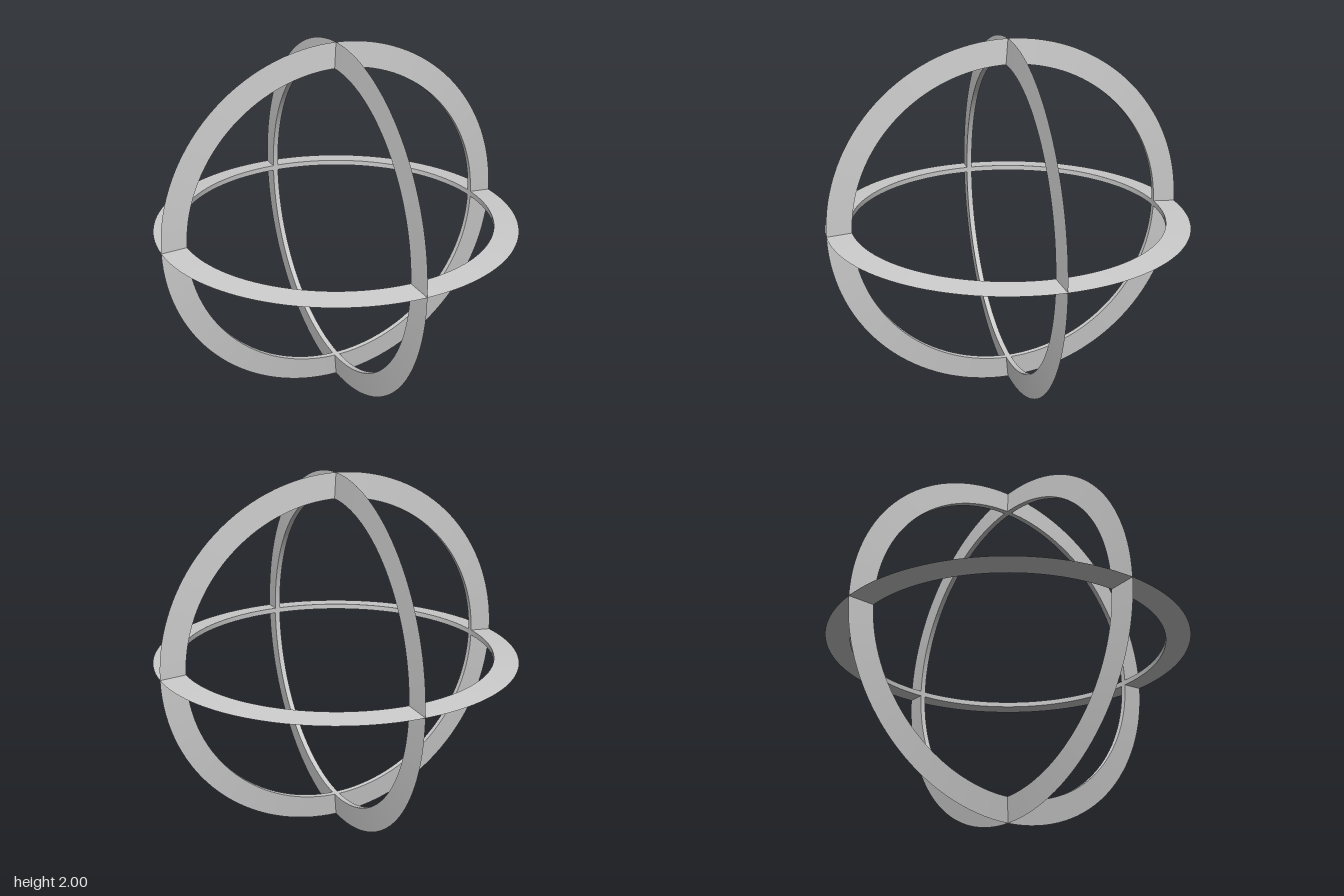
import * as THREE from 'three';
import { toCreasedNormals } from 'three/addons/utils/BufferGeometryUtils.js';

const INNER = 0.865, OUTER = 1, HALF = 0.015;

export function createModel() {
  const model = new THREE.Group();
  model.name = 'ringSphere';
  const material = new THREE.MeshStandardMaterial({ color: 0xcccccc });

  // Wedge section: flat inner band tapering to a sharp outer rim
  const section = [[INNER, -HALF], [OUTER, 0], [INNER, HALF], [INNER, -HALF]]
    .map(([r, y]) => new THREE.Vector2(r, y));
  const geometry = toCreasedNormals(new THREE.LatheGeometry(section, 128), 0.4);

  // Three equal rings at right angles, sharing one centre
  const rings = [
    ['horizontalRing', 0, 0],
    ['frontRing', Math.PI / 2, 0],
    ['sideRing', 0, Math.PI / 2],
  ];
  for (const [name, rx, rz] of rings) {
    const ring = new THREE.Mesh(geometry, material);
    ring.name = name;
    ring.rotation.set(rx, 0, rz);
    ring.position.y = OUTER;
    model.add(ring);
  }
  return model;
}
